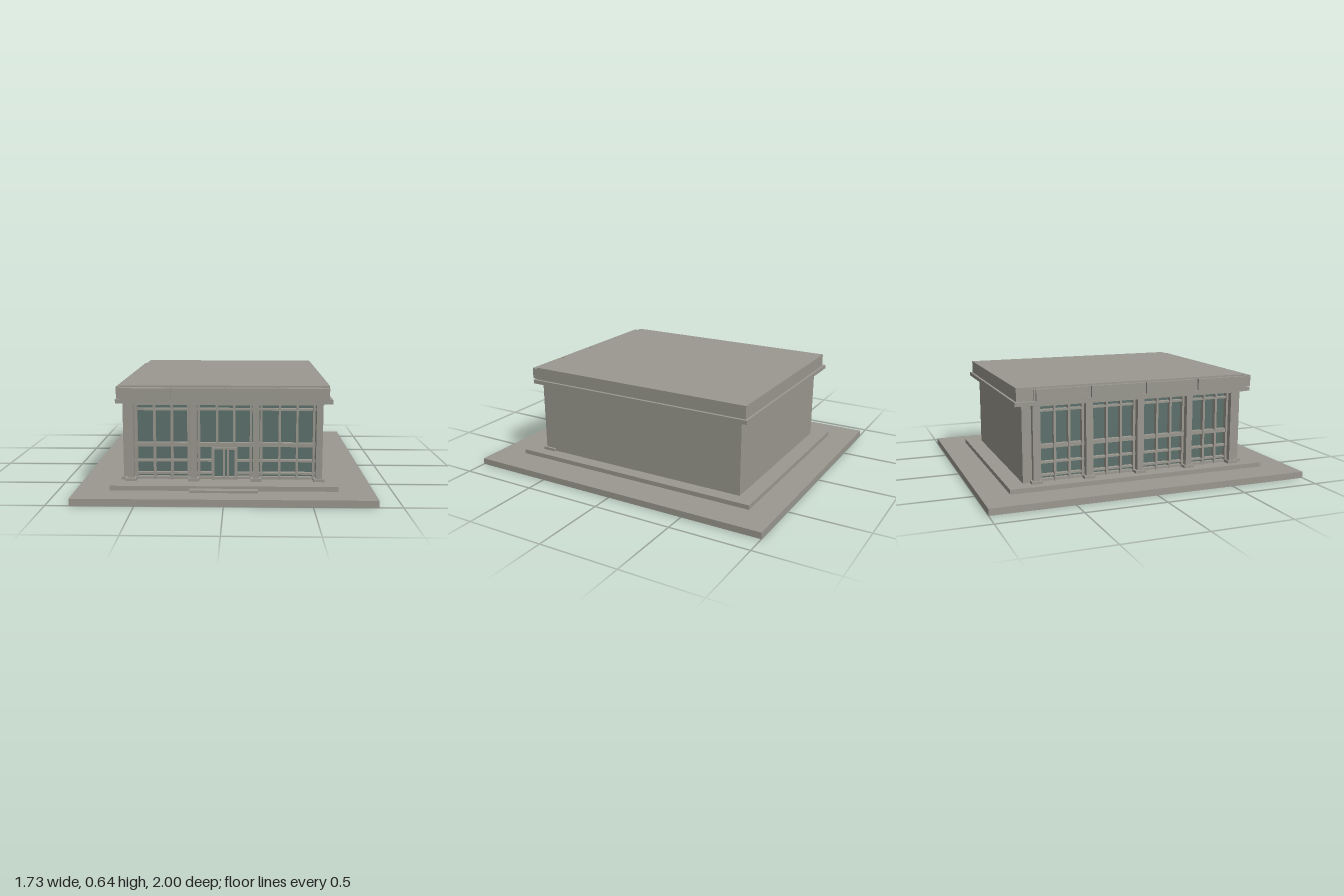
import * as THREE from 'three';

export function createModel() {
  const root = new THREE.Group();
  root.name = 'pavilionBuilding';
  const stone = new THREE.MeshStandardMaterial({ color: 0x9a988f });
  stone.name = 'warm grey stone';
  const glass = new THREE.MeshStandardMaterial({ color: 0x5c706b });
  glass.name = 'green grey glass';

  // Box given by its lower and upper limits on each axis
  function box(parent, name, x0, x1, y0, y1, z0, z1, material = stone) {
    const mesh = new THREE.Mesh(new THREE.BoxGeometry(x1 - x0, y1 - y0, z1 - z0), material);
    mesh.position.set((x0 + x1) / 2, (y0 + y1) / 2, (z0 + z1) / 2);
    mesh.name = name;
    parent.add(mesh);
    return mesh;
  }

  // Ground slab, plinth and entrance step
  box(root, 'groundSlab', -0.865, 0.865, 0, 0.04, -1, 1);
  box(root, 'plinth', -0.665, 0.66, 0.04, 0.068, -0.83, 0.82);
  box(root, 'entranceStep', -0.2, 0.195, 0.04, 0.054, 0.82, 0.865);

  // Solid core with plain back and right-hand walls
  box(root, 'hallWalls', -0.54, 0.576, 0.068, 0.535, -0.73, 0.625);
  box(root, 'backCornerWall', -0.572, -0.54, 0.068, 0.535, -0.73, -0.66);

  // Projecting ledge and roof block
  box(root, 'ledge', -0.637, 0.628, 0.537, 0.561, -0.785, 0.733);
  box(root, 'roof', -0.612, 0.61, 0.561, 0.64, -0.77, 0.71);

  // Fascia panels separated by narrow recessed joints
  const frontEdges = [-0.61, -0.307, 0, 0.307, 0.608];
  const sideEdges = [-0.67, -0.335, 0.013, 0.36, 0.705];
  for (let i = 0; i < 4; i++) {
    box(root, 'frontFasciaPanel', frontEdges[i] + 0.006, frontEdges[i + 1] - 0.006, 0.561, 0.63, 0.71, 0.757);
    box(root, 'sideFasciaPanel', -0.637, -0.612, 0.561, 0.63, sideEdges[i] + 0.012, sideEdges[i + 1] - 0.012);
  }
  box(root, 'frontFasciaBacking', -0.61, 0.608, 0.561, 0.629, 0.71, 0.735);
  box(root, 'sideFasciaBacking', -0.622, -0.612, 0.561, 0.629, -0.67, 0.71);

  // Glazed facade along local x, projecting along local z from the wall plane
  function facade(name, pillars, doorBay) {
    const group = new THREE.Group();
    group.name = name;
    const half = 0.019;
    pillars.forEach((p) => {
      box(group, 'pillar', p - half, p + half, 0.068, 0.537, 0, 0.073);
      box(group, 'pillarBase', p - 0.033, p + 0.033, 0.068, 0.085, 0, 0.088);
    });
    for (let i = 0; i < pillars.length - 1; i++) {
      const a = pillars[i] + half, b = pillars[i + 1] - half, w = b - a;
      box(group, 'windowGlass', a, b, 0.07, 0.535, 0, 0.006, glass);
      // Horizontal rails: centre height and thickness
      [[0.077, 0.014], [0.105, 0.011], [0.182, 0.012], [0.279, 0.024], [0.492, 0.012], [0.53, 0.014]]
        .forEach(([y, t]) => {
          if (i === doorBay && y > 0.1 && y < 0.2) {
            box(group, 'rail', a, -0.07, y - t / 2, y + t / 2, 0, 0.036);
            box(group, 'rail', 0.066, b, y - t / 2, y + t / 2, 0, 0.036);
          } else box(group, 'rail', a, b, y - t / 2, y + t / 2, 0, 0.036);
        });
      // Upright fins
      [0.035, 0.36, 0.67, 0.965].forEach((f) => {
        const x = a + w * f;
        const low = i === doorBay && Math.abs(x) < 0.08 ? 0.27 : 0.068;
        box(group, 'mullion', x - 0.007, x + 0.007, low, 0.535, 0, 0.04);
      });
    }
    root.add(group);
    return group;
  }

  const front = facade('frontFacade', [-0.558, -0.185, 0.185, 0.557], 1);
  front.position.z = 0.625;
  const side = facade('sideFacade', [-0.655, -0.33, 0, 0.33, 0.64], -1);
  side.rotation.y = -Math.PI / 2;
  side.position.x = -0.54;
  side.scale.z = 0.9;

  // Narrow soffit strips under the ledge
  box(root, 'frontSoffit', -0.595, 0.577, 0.527, 0.537, 0.625, 0.72);
  box(root, 'sideSoffit', -0.615, -0.54, 0.527, 0.537, -0.67, 0.625);

  // Double door with a projecting frame
  const door = new THREE.Group();
  door.name = 'entranceDoor';
  door.position.z = 0.625;
  root.add(door);
  box(door, 'doorGlass', -0.064, 0.06, 0.068, 0.257, 0.006, 0.014, glass);
  for (const x of [-0.07, 0.066]) box(door, 'doorJamb', x - 0.008, x + 0.008, 0.068, 0.267, 0, 0.05);
  box(door, 'doorLintel', -0.078, 0.074, 0.253, 0.267, 0, 0.05);
  for (const x of [-0.005, 0.018]) box(door, 'doorStile', x - 0.006, x + 0.006, 0.068, 0.253, 0, 0.035);
  box(door, 'doorSill', -0.07, 0.066, 0.068, 0.08, 0, 0.04);

  return root;
}
